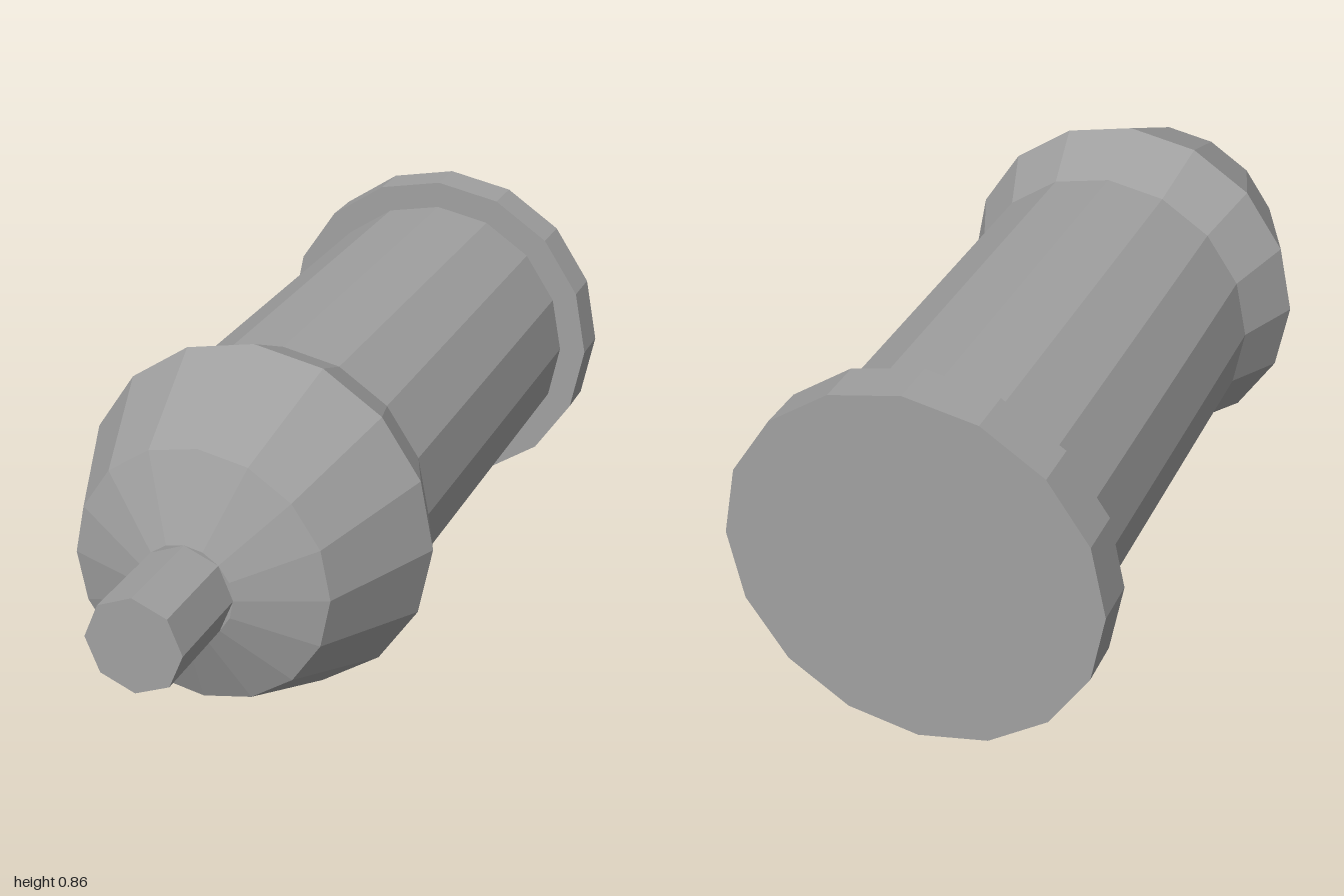
import * as THREE from 'three';

const CENTRE_Y = 0.432; // height of the long axis

export function createModel() {
  const model = new THREE.Group();
  const metal = new THREE.MeshStandardMaterial({ color: 0xa0a0a0, flatShading: true });
  metal.name = 'grey metal';

  // Turns a [radius, z] profile, listed back to front, around the long axis
  function turned(name, profile, sides) {
    const points = profile.map(([r, z]) => new THREE.Vector2(r, z));
    const geometry = new THREE.LatheGeometry(points, sides);
    geometry.rotateX(Math.PI / 2);
    geometry.translate(0, CENTRE_Y, 0);
    const mesh = new THREE.Mesh(geometry, metal);
    mesh.name = name;
    model.add(mesh);
  }

  // Wide disc closing the back end
  turned('baseFlange', [[0, -1], [0.432, -1], [0.432, -0.888], [0, -0.888]], 16);

  // Straight barrel, flaring into the bulged head and tapering to the nose
  turned('barrel', [[0.363, -0.888], [0.363, 0.2]], 16);
  turned('head', [[0.363, 0.2], [0.432, 0.365], [0.306, 0.67], [0.113, 0.749], [0, 0.749]], 16);

  // Thin octagonal pin at the front
  turned('pin', [[0.113, 0.74], [0.113, 1], [0, 1]], 8);

  return model;
}
